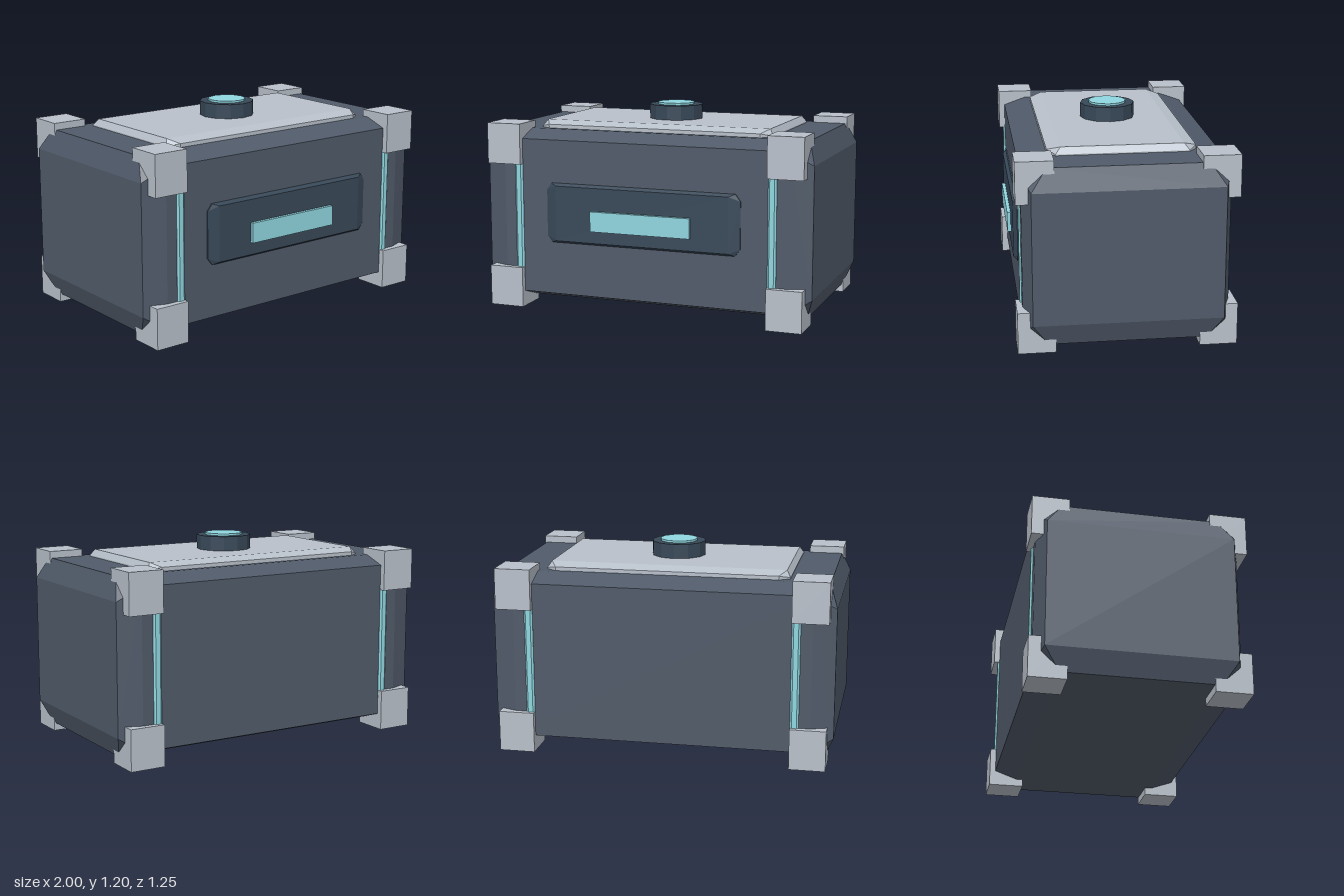
import * as THREE from 'three';
import { ConvexGeometry } from 'three/addons/geometries/ConvexGeometry.js';

const mat = (color) => new THREE.MeshStandardMaterial({ color, flatShading: true });

// Box with chamfered edges: each corner is a triangle joining the corners of
// its end (x), top (y) and front (z) faces, mirrored to all eight octants.
function chamferBox(endCorner, topCorner, frontCorner) {
  const points = [];
  for (const sx of [-1, 1]) for (const sy of [-1, 1]) for (const sz of [-1, 1])
    for (const [x, y, z] of [endCorner, topCorner, frontCorner])
      points.push(new THREE.Vector3(x * sx, y * sy, z * sz));
  return new ConvexGeometry(points);
}

export function createModel() {
  const group = new THREE.Group();
  const hull = mat(0x505a69), dark = mat(0x384858), light = mat(0xb8c0ca), glow = mat(0x90d6e0);
  const zc = -0.006; // centre of the crate in depth

  const add = (name, geometry, material, x, y, z) => {
    const mesh = new THREE.Mesh(geometry, material);
    mesh.name = name;
    mesh.position.set(x, y, z);
    group.add(mesh);
  };

  // Main body
  add('body', chamferBox([1, 0.38, 0.533], [0.952, 0.508, 0.445], [0.87, 0.46, 0.581]),
    hull, 0, 0.553, zc);

  // Lid plate
  add('lidPlate', chamferBox([0.717, 0.008, 0.375], [0.695, 0.045, 0.346], [0.655, 0.023, 0.42]),
    light, 0, 1.06, zc);

  // Round button on the lid
  add('buttonBase', new THREE.CylinderGeometry(0.162, 0.162, 0.1, 12), dark, 0, 1.14, zc);
  add('buttonLight', new THREE.CylinderGeometry(0.112, 0.112, 0.04, 12), glow, 0, 1.182, zc);

  // Front panel with its light bar
  add('frontPanel', chamferBox([0.595, 0.137, 0.008], [0.565, 0.177, 0.01], [0.53, 0.163, 0.03]),
    dark, 0, 0.583, 0.573);
  add('lightBar', new THREE.BoxGeometry(0.61, 0.118, 0.05), glow, 0, 0.552, 0.598);

  // Corner guards and the light strips running between them
  const guard = new THREE.BoxGeometry(0.21, 0.24, 0.212);
  const strip = chamferBox([0.025, 0.34, 0.012], [0.02, 0.35, 0.012], [0.014, 0.34, 0.022]);
  for (const sx of [-1, 1]) for (const sz of [-1, 1]) {
    add('lightStrip', strip, glow, sx * 0.778, 0.552, zc + sz * 0.57);
    for (const y of [0.12, 0.982]) add('cornerGuard', guard, light, sx * 0.859, y, zc + sz * 0.51);
  }
  return group;
}
